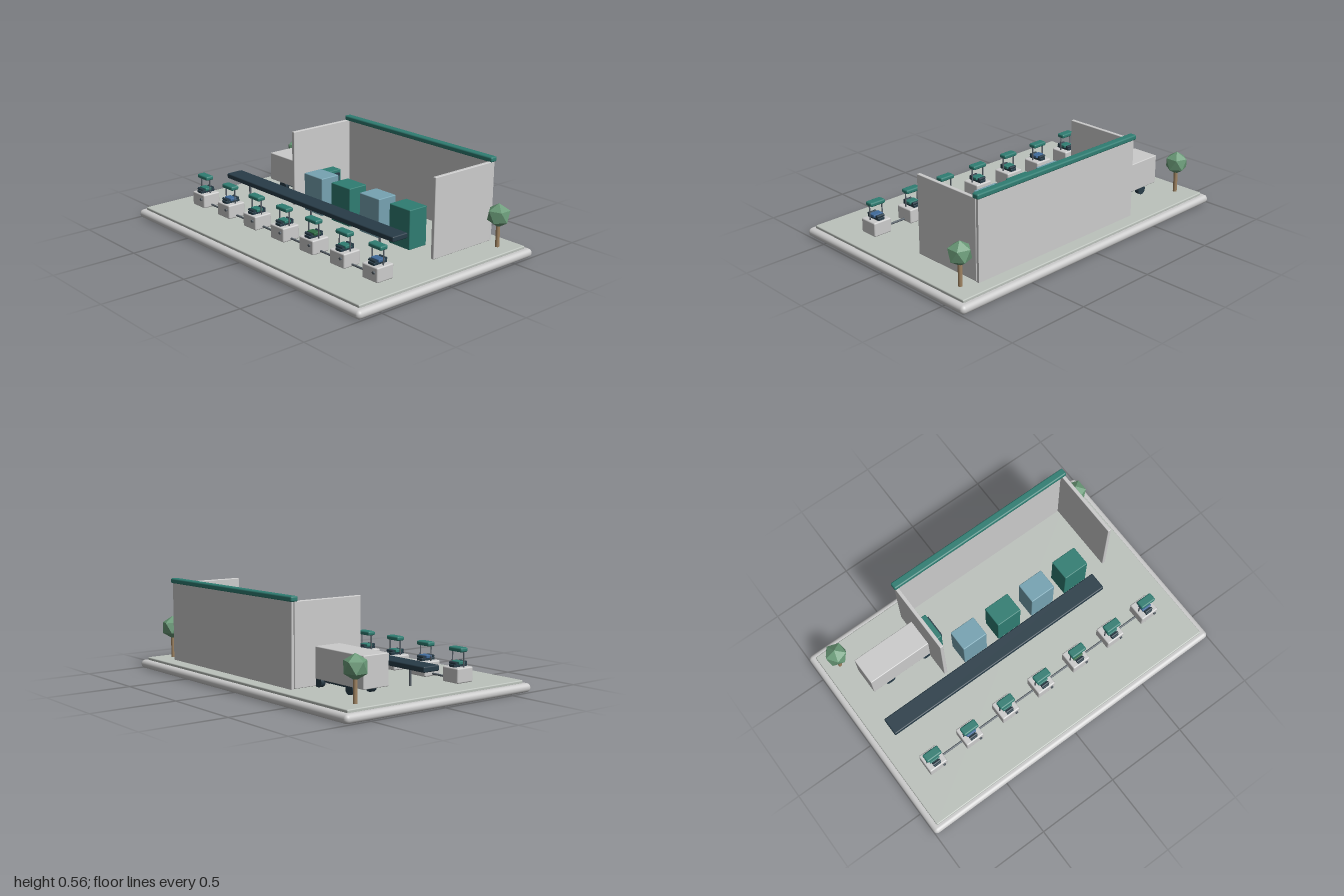
import * as THREE from 'three';
import { RoundedBoxGeometry } from 'three/addons/geometries/RoundedBoxGeometry.js';

const paint = (color) => new THREE.MeshStandardMaterial({ color });
const grey = paint(0xcccccc), teal = paint(0x2f7d72), blue = paint(0x76a3b2), navy = paint(0x283c48);
const paving = paint(0xbcc2bc), metal = paint(0x59626a), bark = paint(0xa08462);
const darkBlue = paint(0x3f6a9a), green = paint(0x2f6b45);
const leaf = paint(0x6a9a78);
leaf.flatShading = true;

function add(parent, name, geometry, material, x = 0, y = 0, z = 0) {
  const mesh = new THREE.Mesh(geometry, material);
  mesh.name = name;
  mesh.position.set(x, y, z);
  parent.add(mesh);
  return mesh;
}

// Box given by its lower and upper bounds, with optionally rounded edges
function block(parent, name, material, [x0, x1], [y0, y1], [z0, z1], r = 0) {
  const size = [x1 - x0, y1 - y0, z1 - z0];
  const geo = r ? new RoundedBoxGeometry(...size, 3, r) : new THREE.BoxGeometry(...size);
  return add(parent, name, geo, material, (x0 + x1) / 2, (y0 + y1) / 2, (z0 + z1) / 2);
}

function post(parent, name, material, r, x, z, y0, y1) {
  return add(parent, name, new THREE.CylinderGeometry(r, r, y1 - y0, 12), material, x, (y0 + y1) / 2, z);
}

// Horizontal cylinder along 'x' or 'z'
function rod(parent, name, material, r, length, axis, x, y, z) {
  const geo = new THREE.CylinderGeometry(r, r, length, 18);
  if (axis === 'x') geo.rotateZ(Math.PI / 2); else geo.rotateX(Math.PI / 2);
  return add(parent, name, geo, material, x, y, z);
}

function makeStation(accent) {
  const g = new THREE.Group();
  g.name = 'workStation';
  block(g, 'pedestal', grey, [-0.059, 0.059], [0.066, 0.15], [-0.059, 0.057], 0.008);
  block(g, 'tray', navy, [-0.022, 0.022], [0.148, 0.165], [-0.048, 0.048], 0.003);
  block(g, 'carriage', accent, [-0.032, 0.032], [0.163, 0.18], [-0.022, 0.022], 0.004);
  for (const s of [-1, 1]) {
    rod(g, 'roller', navy, 0.008, 0.05, 'x', 0, 0.172, s * 0.036);
    post(g, 'canopyPost', metal, 0.004, s * 0.043, 0, 0.148, 0.24);
  }
  block(g, 'canopy', teal, [-0.05, 0.05], [0.232, 0.257], [-0.026, 0.026], 0.009);
  rod(g, 'knob', metal, 0.008, 0.012, 'z', 0.034, 0.12, 0.06);
  return g;
}

function makeTree() {
  const g = new THREE.Group();
  g.name = 'tree';
  post(g, 'trunk', bark, 0.012, 0, 0, 0.065, 0.21);
  // Icosahedron turned to stand on a corner
  const crown = new THREE.IcosahedronGeometry(0.07, 0);
  crown.rotateX(-Math.atan2((1 + Math.sqrt(5)) / 2, 1)).rotateY(-Math.PI / 2);
  add(g, 'crown', crown, leaf, 0, 0.25, 0);
  return g;
}

function makeVan() {
  const g = new THREE.Group();
  g.name = 'van';
  block(g, 'cargoBox', grey, [-0.81, -0.395], [0.11, 0.285], [-0.39, -0.22], 0.005);
  block(g, 'cab', teal, [-0.395, -0.318], [0.1, 0.258], [-0.387, -0.22], 0.005);
  block(g, 'windscreen', navy, [-0.318, -0.309], [0.18, 0.24], [-0.37, -0.237]);
  block(g, 'chassis', navy, [-0.7, -0.34], [0.095, 0.112], [-0.365, -0.245]);
  for (const x of [-0.69, -0.43])
    for (const z of [-0.372, -0.238])
      rod(g, 'wheel', navy, 0.03, 0.028, 'z', x, 0.095, z);
  return g;
}

export function createModel() {
  const model = new THREE.Group();
  model.name = 'workshopDiorama';

  // Plinth and floor
  block(model, 'plinth', grey, [-1, 1], [0, 0.05], [-0.655, 0.655], 0.024);
  block(model, 'floor', paving, [-0.965, 0.965], [0.045, 0.066], [-0.62, 0.62], 0.006);

  // Open building shell
  const shell = new THREE.Group();
  shell.name = 'building';
  model.add(shell);
  block(shell, 'backWall', grey, [-0.405, 0.785], [0.064, 0.535], [-0.54, -0.523]);
  for (const x of [-0.402, 0.778])
    block(shell, 'sideWall', grey, [x - 0.011, x + 0.011], [0.07, 0.533], [-0.525, -0.077], 0.004);
  block(shell, 'roofBeam', teal, [-0.418, 0.795], [0.53, 0.56], [-0.55, -0.505], 0.009);

  // Row of cabinets
  for (let i = 0; i < 4; i++) {
    const x = -0.195 + i * 0.245;
    block(model, 'cabinet', i % 2 ? teal : blue, [x - 0.081, x + 0.081], [0.078, 0.309], [-0.19, -0.06], 0.005);
  }

  // Long conveyor on central legs
  block(model, 'conveyorBelt', navy, [-0.865, 0.64], [0.164, 0.196], [-0.028, 0.083], 0.007);
  for (const x of [-0.7, -0.11, 0.48]) post(model, 'conveyorLeg', metal, 0.007, x, 0.028, 0.065, 0.17);

  // Work stations linked by a rail
  const accents = [teal, darkBlue, teal, teal, green, teal, darkBlue];
  accents.forEach((accent, i) => {
    const station = makeStation(accent);
    station.position.set((i - 3) * 0.256, 0, 0.314);
    model.add(station);
  });
  rod(model, 'linkRail', metal, 0.006, 1.536, 'x', 0, 0.08, 0.314);

  model.add(makeVan());
  for (const s of [-1, 1]) {
    const tree = makeTree();
    tree.position.set(s * 0.872, 0, -0.495);
    model.add(tree);
  }
  return model;
}
